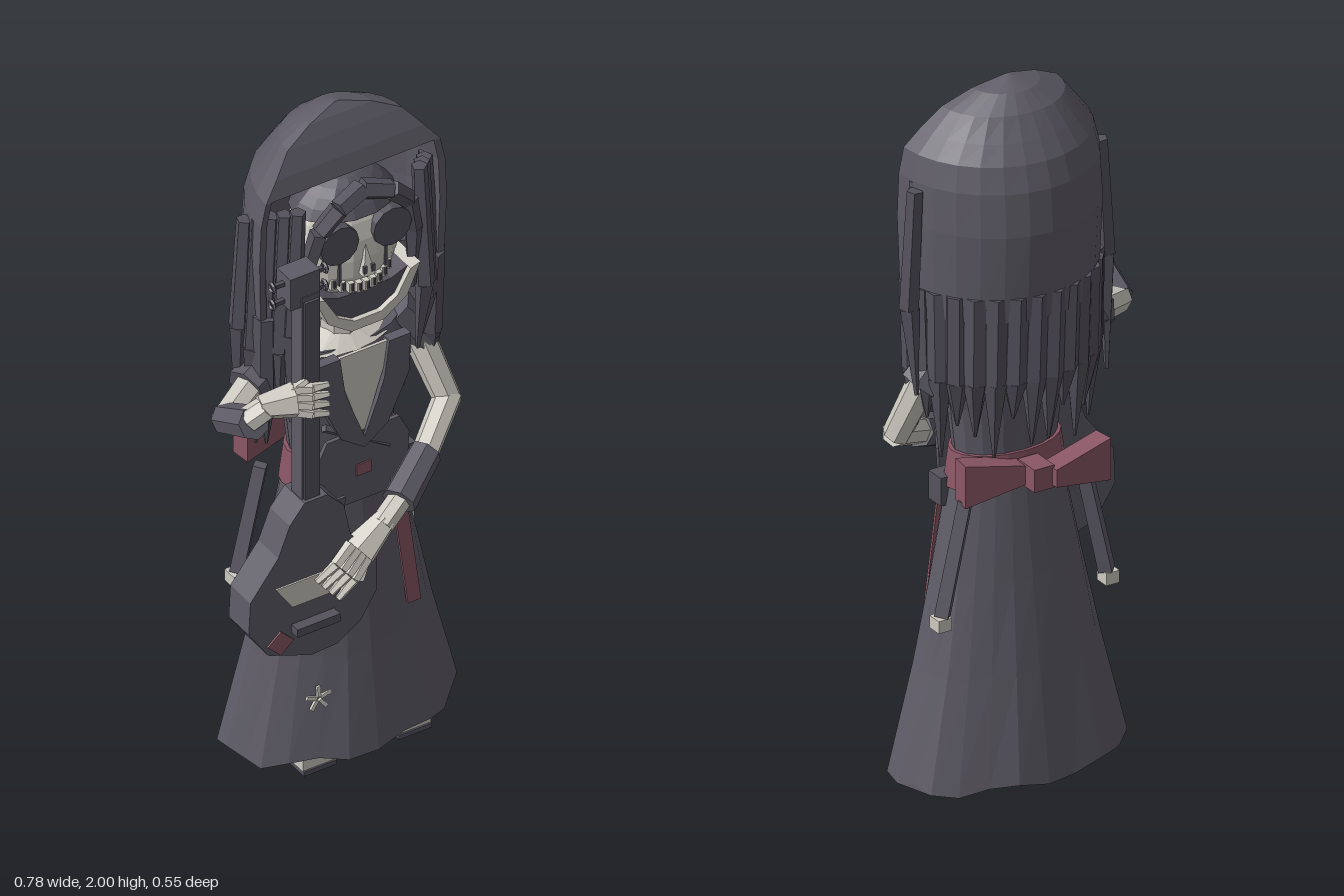
import * as THREE from 'three';

const CX = 0.05; // body axis

export function createModel() {
  const root = new THREE.Group();
  const mat = (name, color) => {
    const m = new THREE.MeshStandardMaterial({ color, flatShading: true, side: THREE.DoubleSide });
    m.name = name;
    return m;
  };
  const cloth = mat('charcoal cloth', 0x5e5b66);
  const hair = mat('dark hair', 0x55525d);
  const bone = mat('bone', 0xcdcac1);
  const red = mat('faded red', 0x8a5665);
  const V = (x, y, z) => new THREE.Vector3(x, y, z);

  function add(name, geo, m, x = 0, y = 0, z = 0) {
    const mesh = new THREE.Mesh(geo, m);
    mesh.name = name;
    mesh.position.set(x, y, z);
    root.add(mesh);
    return mesh;
  }
  const box = (name, m, w, h, d, x, y, z) => add(name, new THREE.BoxGeometry(w, h, d), m, x, y, z);

  // tapered rod between two points
  function rod(name, m, a, b, r1, r2, sides = 7) {
    const d = b.clone().sub(a);
    const mesh = add(name, new THREE.CylinderGeometry(r2, r1, d.length(), sides), m);
    mesh.position.copy(a).addScaledVector(d, 0.5);
    mesh.quaternion.setFromUnitVectors(V(0, 1, 0), d.normalize());
  }
  // extruded outline
  function plate(name, m, pts, z, depth) {
    const s = new THREE.Shape(pts.map(p => new THREE.Vector2(p[0], p[1])));
    return add(name, new THREE.ExtrudeGeometry(s, { depth, bevelEnabled: false }), m, 0, 0, z);
  }
  // skin over closed cross-sections listed from bottom to top
  function loft(name, m, rings) {
    const n = rings[0].length, pos = [], idx = [];
    rings.forEach(r => r.forEach(p => pos.push(p.x, p.y, p.z)));
    for (let j = 0; j < rings.length - 1; j++) for (let i = 0; i < n; i++) {
      const a = j * n + i, b = j * n + (i + 1) % n;
      idx.push(a, a + n, b, b, a + n, b + n);
    }
    for (let i = 1; i < n - 1; i++) {
      const t = (rings.length - 1) * n;
      idx.push(0, i, i + 1, t, t + i + 1, t + i);
    }
    const g = new THREE.BufferGeometry();
    g.setAttribute('position', new THREE.Float32BufferAttribute(pos, 3));
    g.setIndex(idx);
    g.computeVertexNormals();
    add(name, g, m);
  }
  const oval = (y, rx, rz, cz, n = 20, wave = 0) => Array.from({ length: n }, (_, i) => {
    const a = i / n * Math.PI * 2, k = 1 + wave * Math.sin(i * 2.1);
    return V(CX + Math.cos(a) * rx * k, y + wave * 0.4 * Math.sin(i * 1.7), cz + Math.sin(a) * rz * k);
  });

  // skirt, torso and belt
  loft('skirt', cloth, [oval(0.05, 0.335, 0.2, -0.048, 24, 0.03), oval(0.35, 0.265, 0.16, -0.045, 24, 0.015),
    oval(0.6, 0.215, 0.13, -0.04, 24), oval(0.88, 0.16, 0.1, -0.035, 24)]);
  loft('bodice', cloth, [oval(0.86, 0.14, 0.09, -0.035, 16), oval(1.08, 0.165, 0.1, -0.035, 16),
    oval(1.2, 0.205, 0.1, -0.04, 16), oval(1.27, 0.18, 0.08, -0.045, 16)]);
  loft('collarbones', bone, [oval(1.26, 0.15, 0.085, -0.035, 16), oval(1.3, 0.05, 0.04, -0.04, 16)]);
  loft('belt', red, [oval(0.85, 0.175, 0.105, -0.035), oval(0.95, 0.16, 0.102, -0.035)]);
  add('neck', new THREE.CylinderGeometry(0.052, 0.055, 0.18, 8), bone, CX, 1.35, -0.04);
  plate('chest', bone, [[-0.04, 1.275], [CX, 1.0], [0.14, 1.275]], 0.066, 0.009);
  // vest front covering the belt, with a small buckle
  plate('vestFront', cloth, [[-0.08, 0.8], [0.18, 0.8], [0.19, 0.96], [0.16, 1.02], [-0.06, 1.02], [-0.09, 0.96]], 0.066, 0.012);
  box('buckle', red, 0.045, 0.035, 0.012, CX, 0.9, 0.076);
  for (const s of [-1, 1]) {
    const X = v => CX + s * v;
    plate('lapel', cloth, [[X(0), 0.97], [X(0), 1.005], [X(0.04), 1.11], [X(0.06), 1.17], [X(0.075), 1.28],
      [X(0.14), 1.28], [X(0.135), 1.16], [X(0.07), 1.02]], 0.055, 0.03);
    // shoe with sole
    box('foot', bone, 0.1, 0.045, 0.18, X(0.145), 0.036, 0.005);
    box('sole', hair, 0.1, 0.014, 0.19, X(0.145), 0.007, 0.005);
    // bow loop sweeping forward, and bone-tipped tail
    const loop = plate('bowLoop', red, [[0.02, 0.88], [0.2, 0.845], [0.2, 0.965], [0.02, 0.93]], -0.03, 0.06);
    loop.position.set(CX, 0, -0.185);
    loop.rotation.y = s > 0 ? -0.12 : Math.PI + 0.12;
    rod('bowTail', cloth, V(X(0.18), 0.85, -0.13), V(X(0.25), 0.54, -0.13), 0.024, 0.026, 4);
    box('tailTip', bone, 0.04, 0.035, 0.045, X(0.255), 0.522, -0.13);
    // hanging ribbon
    plate('ribbon', red, [[X(0.075), 0.78], [X(0.115), 0.78], [X(0.16), 0.43], [X(0.12), 0.43]], 0.095, 0.008);
    plate('ribbonTop', cloth, [[X(0.07), 0.85], [X(0.11), 0.85], [X(0.115), 0.78], [X(0.075), 0.78]], 0.095, 0.008);
  }
  box('bowKnot', red, 0.06, 0.065, 0.08, CX, 0.905, -0.185);
  box('pouch', hair, 0.06, 0.08, 0.06, 0.21, 0.835, 0.0);
  rod('strap', cloth, V(-0.06, 1.06, 0.062), V(0.13, 0.94, 0.07), 0.012, 0.012, 4);

  // stitched flower on the skirt
  for (let i = 0; i < 5; i++) {
    const a = i / 5 * Math.PI * 2 + 0.3;
    const p = box('petal', bone, 0.03, 0.01, 0.009, -0.105 + Math.cos(a) * 0.022, 0.24 + Math.sin(a) * 0.022, 0.106);
    p.rotation.set(-0.12, 0, a);
  }

  // head and face
  add('head', new THREE.SphereGeometry(1, 14, 12), bone, CX, 1.58, -0.03).scale.set(0.16, 0.21, 0.12);
  add('hairline', new THREE.SphereGeometry(1, 14, 6, 0, Math.PI * 2, 0, 0.95), hair, CX, 1.58, -0.02).scale.set(0.185, 0.23, 0.14);
  for (const s of [-1, 1]) {
    const X = v => CX + s * v;
    add('eye', new THREE.CylinderGeometry(0.058, 0.058, 0.05, 12), hair, X(0.08), 1.65, 0.068).rotation.x = Math.PI / 2;
    box('tear', hair, 0.008, 0.09, 0.06, X(0.07), 1.555, 0.048);
    box('nostril', hair, 0.01, 0.022, 0.008, X(0.012), 1.555, 0.104);
    // fringe arching over the brow and down the cheeks
    const arch = [[0, 1.79, 0.07], [0.08, 1.765, 0.085], [0.135, 1.71, 0.08], [0.16, 1.6, 0.065], [0.168, 1.4, 0.045]].map(p => V(X(p[0]), p[1], p[2]));
    for (let i = 0; i < 4; i++) rod('fringe', hair, arch[i], arch[i + 1], 0.03 - i * 0.002, i === 3 ? 0.012 : 0.028 - i * 0.002, 5);
  }
  const nose = add('nose', new THREE.ConeGeometry(0.025, 0.09, 4), bone, CX, 1.58, 0.09);
  nose.rotation.y = Math.PI / 4;
  plate('mouth', hair, [[-0.08, 1.5], [-0.03, 1.48], [CX, 1.475], [0.13, 1.48], [0.18, 1.5],
    [0.14, 1.43], [0.09, 1.4], [0.01, 1.4], [-0.04, 1.43]], 0.0, 0.085);
  plate('jaw', bone, [[-0.11, 1.51], [-0.08, 1.5], [-0.04, 1.43], [0.01, 1.4], [0.09, 1.4], [0.14, 1.43],
    [0.18, 1.5], [0.21, 1.51], [0.17, 1.42], [0.1, 1.37], [0, 1.37], [-0.07, 1.42]], -0.02, 0.12);
  for (let i = -4; i <= 4; i++) {
    const y = 1.497 + i * i * 0.001, z = 0.088 - i * i * 0.0018;
    box('tooth', bone, 0.016, 0.03, 0.02, CX + i * 0.021, y, z);
    box('stitch', hair, 0.005, 0.022, 0.006, CX + i * 0.021, y + 0.004, z + 0.012);
  }

  // hood: half-oval sections [y, half width, front z, back z], open below the brow
  const arc = ([y, rx, zf, zb]) => Array.from({ length: 15 }, (_, i) => {
    const a = Math.PI + i / 14 * Math.PI;
    return V(CX + Math.cos(a) * rx, y, zf + Math.sin(a) * (zf - zb));
  });
  const dome = [[1.82, 0.265, 0.03, -0.235], [1.87, 0.225, 0.015, -0.205], [1.93, 0.175, -0.01, -0.165],
    [1.97, 0.095, -0.03, -0.12], [1.995, 0.008, -0.05, -0.06]];
  loft('hoodCrown', cloth, dome.map(arc));
  // wall closes through an inner layer, leaving the face open
  const wall = [[1.38, 0.278, 0.025, -0.247], [1.63, 0.285, 0.03, -0.266], [1.75, 0.28, 0.03, -0.256], dome[0]].map(arc);
  loft('hoodWall', cloth, wall.map(r => [...r, ...r.map(p => V(CX + (p.x - CX) * 0.93, p.y, p.z * 0.93)).reverse()]));

  // broad hanging back locks ending in points
  for (let i = 0; i <= 15; i++) {
    const a = Math.PI + i / 15 * Math.PI, c = Math.cos(a), s = Math.sin(a);
    const end = 1.03 + 0.06 * Math.sin(i * 2.3);
    const top = V(CX + c * 0.255, 1.45, 0.01 + s * 0.24), mid = V(CX + c * 0.25, 1.2, s * 0.215);
    rod('backLock', hair, top, mid, 0.032, 0.034, 6);
    rod('backLock', hair, mid, V(CX + c * 0.245, end, s * 0.205), 0.034, 0.004, 6);
  }
  // side locks framing the face
  for (const s of [-1, 1]) for (let i = 0; i < 5; i++) {
    const x = 0.185 + i * 0.024, z = 0.055 - i * 0.026;
    const mid = V(CX + s * (x + 0.018), 1.4 - (i % 2) * 0.06, z);
    rod('sideLock', hair, V(CX + s * x, 1.78 - i * 0.012, z), mid, 0.022, 0.027, 5);
    rod('sideLock', hair, mid, V(CX + s * (x + 0.008), (s < 0 ? 1.1 : 1.18) + 0.04 * Math.sin(i * 3), z - 0.02), 0.027, 0.006, 5);
  }

  // hand: palm with four fingers and thumb
  function hand(wrist, knuckle, tip, spread) {
    rod('palm', bone, wrist, knuckle, 0.032, 0.05, 6);
    for (let i = 0; i < 4; i++) {
      const o = spread.clone().multiplyScalar(i - 1.5);
      const a = knuckle.clone().addScaledVector(o, 0.9), b = tip.clone().addScaledVector(o, 1.2);
      const m = a.clone().lerp(b, 0.5).add(V(0, 0, 0.008));
      rod('finger', bone, a, m, 0.017, 0.015, 5);
      rod('finger', bone, m, b, 0.015, 0.009, 5);
    }
    const t = wrist.clone().lerp(knuckle, 0.5);
    rod('thumb', bone, t, t.clone().lerp(tip, 0.6).addScaledVector(spread, 2.6), 0.018, 0.01, 5);
  }
  // left arm reaching down to the strings
  rod('leftSleeve', cloth, V(0.22, 1.27, -0.05), V(0.3, 1.16, -0.03), 0.055, 0.062);
  rod('leftUpperArm', bone, V(0.27, 1.22, -0.04), V(0.325, 0.99, 0.05), 0.045, 0.038);
  rod('leftForearm', bone, V(0.33, 1.0, 0.045), V(0.16, 0.91, 0.17), 0.038, 0.036);
  rod('leftCuff', cloth, V(0.2, 0.93, 0.14), V(0.07, 0.87, 0.215), 0.044, 0.048);
  rod('leftWrist', bone, V(0.08, 0.875, 0.21), V(0.01, 0.83, 0.23), 0.032, 0.032);
  hand(V(0.025, 0.84, 0.225), V(-0.06, 0.775, 0.23), V(-0.16, 0.69, 0.235), V(0.018, -0.022, 0));
  // right arm raised to the neck of the instrument
  rod('rightSleeve', cloth, V(-0.12, 1.26, -0.05), V(-0.25, 1.22, -0.01), 0.055, 0.06);
  rod('rightUpperArm', bone, V(-0.2, 1.23, -0.03), V(-0.355, 1.2, 0.05), 0.045, 0.038);
  rod('rightCuff', cloth, V(-0.35, 1.2, 0.045), V(-0.348, 1.27, 0.18), 0.042, 0.046);
  rod('rightWrist', bone, V(-0.35, 1.27, 0.16), V(-0.31, 1.31, 0.185), 0.036, 0.034);
  hand(V(-0.33, 1.31, 0.175), V(-0.24, 1.31, 0.195), V(-0.15, 1.295, 0.225), V(0, 0.026, 0));

  // stringed instrument
  plate('instrumentBody', cloth, [[-0.22, 0.985], [-0.265, 0.93], [-0.3, 0.84], [-0.385, 0.73], [-0.39, 0.63], [-0.33, 0.54],
    [-0.2, 0.49], [-0.12, 0.495], [-0.05, 0.54], [0, 0.62], [0, 0.72], [-0.08, 0.83], [-0.1, 0.93], [-0.15, 0.985]], 0.125, 0.095);
  box('instrumentNeck', cloth, 0.055, 0.66, 0.05, -0.19, 1.3, 0.178);
  box('fingerboard', hair, 0.045, 0.75, 0.009, -0.19, 1.24, 0.206);
  box('headstock', cloth, 0.09, 0.1, 0.065, -0.205, 1.65, 0.167);
  for (const s of [-1, 1]) for (const y of [1.615, 1.67]) {
    box('pegShaft', hair, 0.03, 0.012, 0.012, -0.205 + s * 0.058, y, 0.167);
    add('pegRing', new THREE.TorusGeometry(0.013, 0.005, 4, 8), hair, -0.205 + s * 0.08, y, 0.167).rotation.y = Math.PI / 2;
  }
  plate('soundPlate', bone, [[-0.31, 0.745], [-0.26, 0.67], [-0.14, 0.67], [-0.11, 0.745]], 0.219, 0.006);
  plate('redPatch', red, [[-0.335, 0.57], [-0.295, 0.53], [-0.255, 0.565], [-0.295, 0.605]], 0.219, 0.006);
  box('bridge', hair, 0.13, 0.025, 0.03, -0.195, 0.6, 0.234);

  return root;
}
